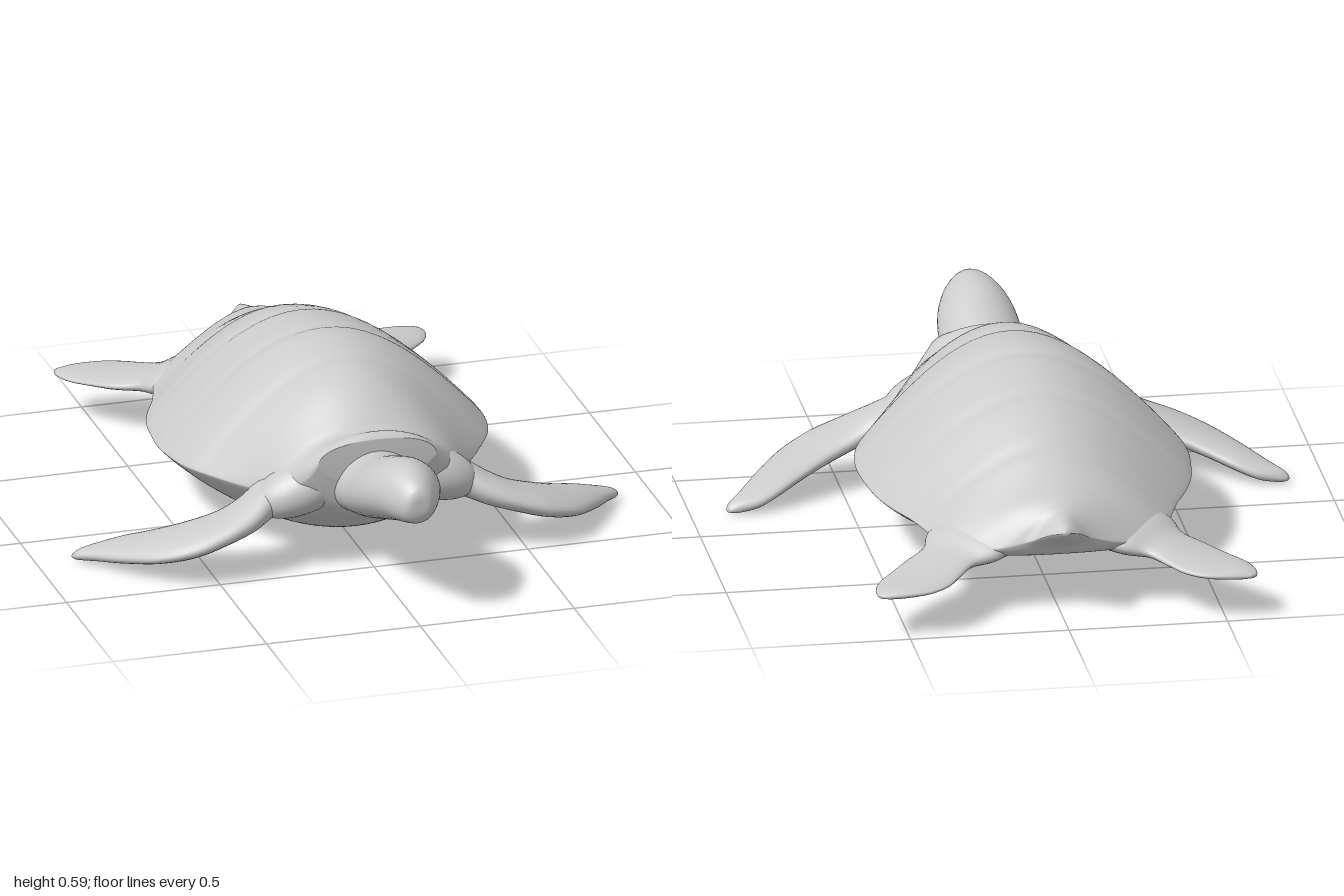
import * as THREE from 'three';

const material = new THREE.MeshStandardMaterial({ color: 0xcccccc, roughness: 0.8 });

// Smoothly interpolates every column of a station table (Catmull-Rom).
function smoothRows(rows, steps) {
  const out = [];
  const at = (i) => rows[Math.min(Math.max(i, 0), rows.length - 1)];
  for (let i = 0; i < rows.length - 1; i++) {
    for (let s = 0; s < steps; s++) {
      const t = s / steps;
      out.push(rows[i].map((b, k) => {
        const a = at(i - 1)[k], c = at(i + 1)[k], d = at(i + 2)[k];
        return b + 0.5 * t * (c - a + t * (2 * a - 5 * b + 4 * c - d + t * (3 * (b - c) + d - a)));
      }));
    }
  }
  out.push(rows[rows.length - 1]);
  return out;
}

// Skins closed rings ringPoint(row, angle) -> [x, y, z] and caps both ends.
function loft(name, rows, steps, sides, ringPoint) {
  const stations = smoothRows(rows, steps);
  const pos = [], index = [];
  for (const row of stations) {
    for (let j = 0; j < sides; j++) pos.push(...ringPoint(row, (j / sides) * Math.PI * 2));
  }
  for (let i = 0; i < stations.length - 1; i++) {
    for (let j = 0; j < sides; j++) {
      const a = i * sides + j, b = i * sides + ((j + 1) % sides);
      index.push(a, b, a + sides, b, b + sides, a + sides);
    }
  }
  const cap = (first, reverse) => {
    const c = [0, 0, 0], centre = pos.length / 3;
    for (let j = 0; j < sides; j++) for (let k = 0; k < 3; k++) c[k] += pos[(first + j) * 3 + k] / sides;
    pos.push(...c);
    for (let j = 0; j < sides; j++) {
      const a = first + j, b = first + ((j + 1) % sides);
      index.push(centre, reverse ? b : a, reverse ? a : b);
    }
  };
  cap(0, true);
  cap((stations.length - 1) * sides, false);

  // Turn the faces outward if the enclosed volume comes out negative.
  const p = (i) => new THREE.Vector3().fromArray(pos, i * 3);
  let volume = 0;
  for (let i = 0; i < index.length; i += 3) {
    volume += p(index[i]).dot(p(index[i + 1]).cross(p(index[i + 2])));
  }
  if (volume < 0) index.reverse();

  const geometry = new THREE.BufferGeometry();
  geometry.setAttribute('position', new THREE.Float32BufferAttribute(pos, 3));
  geometry.setIndex(index);
  geometry.computeVertexNormals();
  const mesh = new THREE.Mesh(geometry, material);
  mesh.name = name;
  return mesh;
}

// Shell stations: z, half width, rim y, top y, belly y, roundness power
const shellRows = [
  [0.535, 0.19, 0.385, 0.45, 0.30, 0.5],
  [0.51, 0.225, 0.33, 0.466, 0.20, 0.5],
  [0.45, 0.28, 0.28, 0.452, 0.15, 0.55],
  [0.40, 0.32, 0.262, 0.488, 0.115, 0.7],
  [0.30, 0.38, 0.25, 0.55, 0.065, 0.9],
  [0.20, 0.44, 0.247, 0.575, 0.03, 1],
  [0.10, 0.49, 0.243, 0.59, 0.014, 1],
  [0.00, 0.515, 0.24, 0.60, 0.008, 1],
  [-0.10, 0.523, 0.236, 0.59, 0.008, 1],
  [-0.20, 0.515, 0.232, 0.577, 0.018, 1],
  [-0.30, 0.50, 0.228, 0.557, 0.036, 1],
  [-0.40, 0.468, 0.222, 0.53, 0.063, 1],
  [-0.50, 0.422, 0.218, 0.493, 0.10, 1],
  [-0.60, 0.388, 0.213, 0.447, 0.13, 1],
  [-0.70, 0.36, 0.203, 0.395, 0.155, 1],
  [-0.78, 0.29, 0.205, 0.375, 0.18, 1.1],
  [-0.83, 0.19, 0.225, 0.355, 0.20, 1.2],
  [-0.86, 0.10, 0.255, 0.342, 0.235, 1.1],
  [-0.91, 0.05, 0.29, 0.328, 0.27, 1],
  [-0.948, 0.012, 0.308, 0.316, 0.30, 1],
];
const seams = [0.16, -0.08, -0.33, -0.57];

function shellPoint([z, w, rim, top, belly, power], angle) {
  const u = Math.cos(angle), v = Math.sin(angle);
  const edge = Math.min(0.018, w * 0.1) * v;
  if (v < 0) return [w * u, rim + edge * u * u - (rim - belly) * (1 - u * u), z];
  // shallow grooves between the rows of scutes
  const groove = seams.reduce((sum, s) => sum + Math.exp(-(((z - s) / 0.022) ** 2)), 0) * 0.007 * v;
  const dome = Math.max(Math.cos(u * Math.PI / 2), 0) ** power;
  return [w * u, rim + edge * u * u + (top - rim) * dome - groove, z];
}

// Head and neck stations: z, half width, top y, bottom y
const headRows = [
  [0.40, 0.15, 0.41, 0.16],
  [0.52, 0.135, 0.41, 0.195],
  [0.60, 0.128, 0.423, 0.215],
  [0.70, 0.131, 0.462, 0.25],
  [0.80, 0.122, 0.497, 0.287],
  [0.88, 0.10, 0.505, 0.315],
  [0.94, 0.075, 0.49, 0.332],
  [0.98, 0.052, 0.468, 0.347],
  [0.994, 0.036, 0.448, 0.37],
  [0.998, 0.018, 0.43, 0.39],
];

function headPoint([z, w, top, bottom], angle) {
  const s = Math.sin(angle);
  return [w * Math.cos(angle) * (1 - 0.13 * s), (top + bottom) / 2 + ((top - bottom) / 2) * s, z];
}

// Flipper stations: one edge x, z, other edge x, z, centre y, half thickness
const frontFlipperRows = [
  [0.20, 0.44, 0.20, 0.26, 0.27, 0.08],
  [0.30, 0.465, 0.30, 0.29, 0.24, 0.066],
  [0.38, 0.505, 0.39, 0.33, 0.20, 0.052],
  [0.48, 0.523, 0.46, 0.322, 0.163, 0.044],
  [0.58, 0.515, 0.55, 0.29, 0.128, 0.042],
  [0.68, 0.46, 0.64, 0.24, 0.095, 0.036],
  [0.77, 0.355, 0.72, 0.19, 0.065, 0.032],
  [0.84, 0.255, 0.78, 0.167, 0.042, 0.026],
  [0.88, 0.205, 0.84, 0.164, 0.029, 0.018],
  [0.888, 0.182, 0.875, 0.168, 0.022, 0.006],
];
const rearFlipperRows = [
  [0.30, -0.53, 0.08, -0.73, 0.225, 0.07],
  [0.385, -0.62, 0.18, -0.825, 0.205, 0.05],
  [0.41, -0.69, 0.27, -0.84, 0.185, 0.033],
  [0.47, -0.745, 0.325, -0.90, 0.17, 0.025],
  [0.53, -0.815, 0.37, -0.955, 0.16, 0.02],
  [0.58, -0.88, 0.43, -0.99, 0.154, 0.018],
  [0.60, -0.94, 0.51, -0.998, 0.15, 0.015],
  [0.597, -0.978, 0.575, -0.995, 0.147, 0.006],
];

const flipperPoint = (side) => ([ax, az, bx, bz, y, h], angle) => {
  const c = Math.cos(angle) / 2;
  return [side * ((ax + bx) / 2 + (ax - bx) * c), y + h * Math.sin(angle), (az + bz) / 2 + (az - bz) * c];
};

export function createModel() {
  const turtle = new THREE.Group();
  turtle.name = 'seaTurtle';
  turtle.add(loft('shellAndTail', shellRows, 6, 72, shellPoint));
  turtle.add(loft('headAndNeck', headRows, 5, 40, headPoint));

  for (const [prefix, side] of [['left', 1], ['right', -1]]) {
    turtle.add(loft(prefix + 'FrontFlipper', frontFlipperRows, 5, 28, flipperPoint(side)));
    turtle.add(loft(prefix + 'RearFlipper', rearFlipperRows, 5, 28, flipperPoint(side)));

    // Shoulder blending the neck into the front flipper
    const shoulder = new THREE.Mesh(new THREE.SphereGeometry(1, 32, 20), material);
    shoulder.name = prefix + 'Shoulder';
    shoulder.scale.set(0.17, 0.085, 0.1);
    shoulder.position.set(side * 0.2, 0.275, 0.415);
    shoulder.rotation.z = -side * 0.35;
    turtle.add(shoulder);
  }
  return turtle;
}
